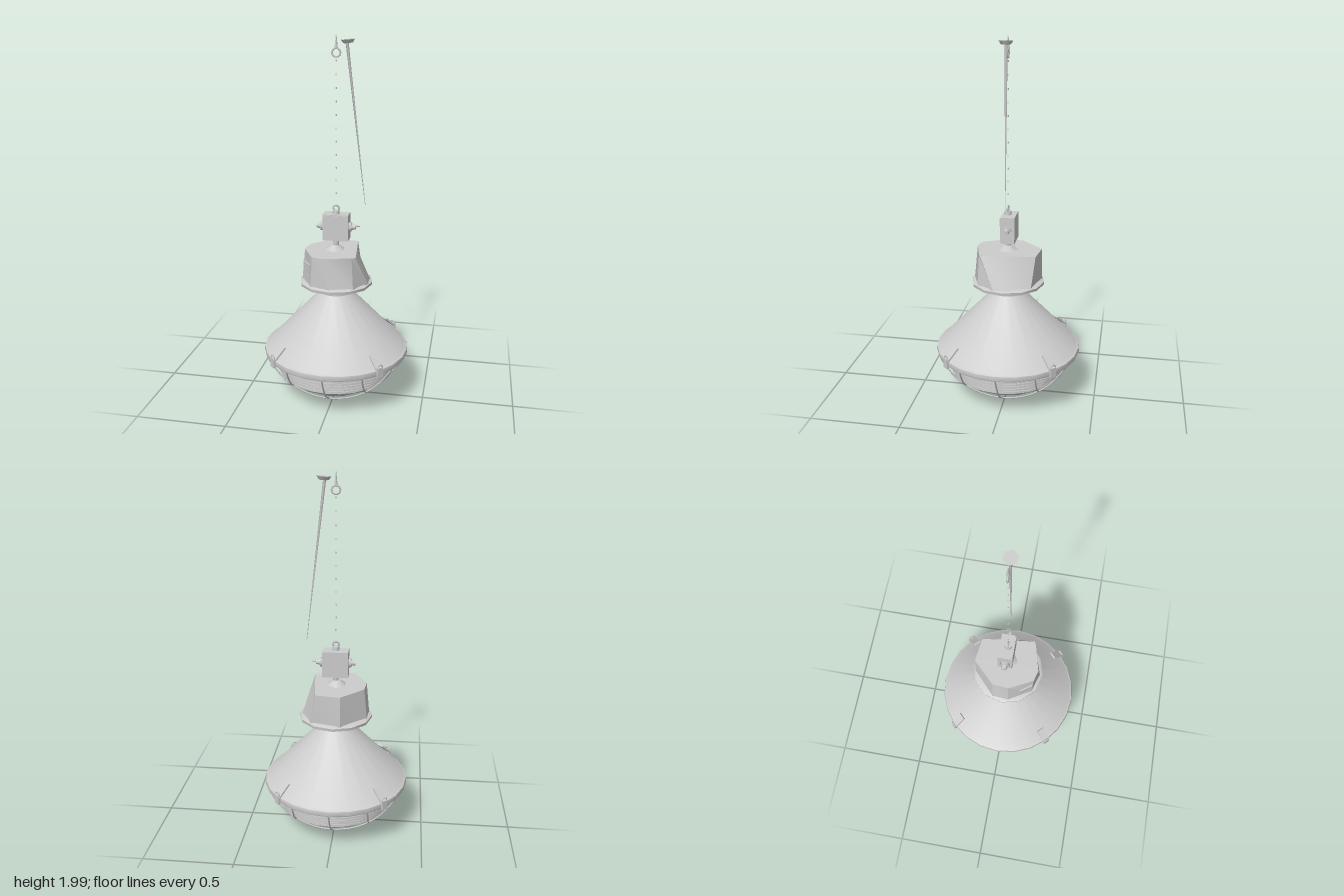
import * as THREE from 'three';
import { toCreasedNormals } from 'three/addons/utils/BufferGeometryUtils.js';

const grey = new THREE.MeshStandardMaterial({ color: 0xcccccc, side: THREE.DoubleSide });
grey.name = 'light grey metal';

export function createModel() {
  const model = new THREE.Group();
  model.name = 'hangingIndustrialLamp';

  const add = (name, geometry, pos = [0, 0, 0], rot = [0, 0, 0], parent = model) => {
    const mesh = new THREE.Mesh(geometry, grey);
    mesh.name = name;
    mesh.position.set(...pos);
    mesh.rotation.set(...rot);
    parent.add(mesh);
    return mesh;
  };
  const lathe = (points, sides, crease = 0.6) =>
    toCreasedNormals(new THREE.LatheGeometry(points.map(p => new THREE.Vector2(...p)), sides), crease);
  const cyl = (top, bottom, height, sides) => new THREE.CylinderGeometry(top, bottom, height, sides);

  // Conical reflector with a rolled rim
  add('shade', lathe([[0.365, 0.272], [0.4, 0.272], [0.405, 0.285], [0.402, 0.302], [0.385, 0.31],
    [0.09, 0.622], [0.09, 0.672]], 24));

  // Ribbed upper band of the glass, stepping inwards, then the plain bowl
  const ribs = [];
  for (let i = 0; i < 6; i++) {
    const y = 0.272 - i * 0.021, r = 0.368 - i * 0.01;
    ribs.push([r, y], [r, y - 0.012], [r - 0.014, y - 0.015], [r - 0.014, y - 0.021]);
  }
  add('ribbedGlass', lathe(ribs.reverse(), 24));
  add('glassBowl', lathe([[0.0001, 0.022], [0.1, 0.035], [0.2, 0.075], [0.27, 0.118], [0.305, 0.148]], 16));

  // Wire guard: crossed wires lying on a spherical dome
  const guard = new THREE.Group();
  guard.name = 'wireGuard';
  model.add(guard);
  const domeY = r => 0.442 - Math.sqrt(0.43 * 0.43 - r * r);
  for (const offset of [-0.203, 0, 0.203]) {
    const half = Math.sqrt(0.4 * 0.4 - offset * offset);
    const pts = [new THREE.Vector3(-half, 0.3, offset)];
    for (let i = 0; i <= 10; i++) {
      const x = half * (i / 5 - 1);
      pts.push(new THREE.Vector3(x, domeY(Math.hypot(x, offset)), offset));
    }
    pts.push(new THREE.Vector3(half, 0.3, offset));
    const wire = new THREE.TubeGeometry(new THREE.CatmullRomCurve3(pts), 28, 0.0045, 5);
    add('guardWireAcross', wire, [0, 0, 0], [0, 0, 0], guard);
    add('guardWireAlong', wire, [0, 0, 0], [0, Math.PI / 2, 0], guard);
  }
  add('guardRing', new THREE.TorusGeometry(0.398, 0.006, 5, 24), [0, 0.28, 0], [Math.PI / 2, 0, 0], guard);

  // Four toggle clips on the rim
  for (let i = 0; i < 4; i++) {
    const clip = new THREE.Group();
    clip.name = 'rimClip';
    clip.rotation.y = Math.PI / 4 + i * Math.PI / 2;
    model.add(clip);
    add('clipLever', new THREE.BoxGeometry(0.09, 0.01, 0.045), [0.377, 0.342, 0], [0, 0, -0.75], clip);
    add('clipHook', new THREE.BoxGeometry(0.012, 0.055, 0.035), [0.41, 0.295, 0], [0, 0, 0], clip);
    add('clipLoop', new THREE.TorusGeometry(0.018, 0.004, 4, 8), [0.41, 0.32, 0], [0, Math.PI / 2, 0], clip);
  }

  // Collar flange under the ballast housing
  add('collar', lathe([[0.09, 0.682], [0.155, 0.682], [0.165, 0.67], [0.2, 0.672], [0.202, 0.688],
    [0.185, 0.697], [0.09, 0.697]], 12));

  // Ballast housing: irregular prism with one sloping side
  const top = [[0.095, -0.165], [0.13, 0.13], [-0.04, 0.178], [-0.1, 0.162], [-0.168, 0.03], [-0.16, -0.06], [-0.04, -0.182]];
  const base = [[0.125, -0.145], [0.186, 0.05], [0, 0.188], [-0.11, 0.155], [-0.184, 0.03], [-0.176, -0.06], [-0.04, -0.186]];
  // An additional pair of corners keeps the base round below the slope
  top.splice(1, 0, [0.113, -0.02]);
  base.splice(1, 0, [0.186, -0.03]);
  top.splice(3, 0, [0.11, 0.14]);
  base.splice(3, 0, [0.12, 0.148]);
  const n = top.length, verts = [], index = [];
  for (let i = 0; i < n; i++) verts.push(top[i][0], 0.865, top[i][1], base[i][0], 0.69, base[i][1]);
  verts.push(0, 0.865, 0, 0, 0.69, 0);
  for (let i = 0; i < n; i++) {
    const a = 2 * i, b = 2 * ((i + 1) % n);
    index.push(a, b, a + 1, b, b + 1, a + 1, 2 * n, b, a, 2 * n + 1, a + 1, b + 1);
  }
  let housing = new THREE.BufferGeometry();
  housing.setAttribute('position', new THREE.Float32BufferAttribute(verts, 3));
  housing.setIndex(index);
  housing = toCreasedNormals(housing, 0.6);
  add('ballastHousing', housing);
  add('ratingPlate', new THREE.BoxGeometry(0.075, 0.048, 0.008), [-0.135, 0.797, 0.127], [0, -0.95, 0]);

  // Mounting foot and post between housing and junction box
  add('mountingFoot', cyl(0.02, 0.055, 0.025, 6), [-0.005, 0.878, 0]);
  add('mountingPost', cyl(0.015, 0.015, 0.06, 8), [0, 0.9, 0]);

  // Junction box with cable glands at the sides
  add('junctionBox', new THREE.BoxGeometry(0.14, 0.145, 0.075), [0, 0.993, -0.008]);
  add('boxLid', new THREE.BoxGeometry(0.13, 0.135, 0.008), [0, 0.993, 0.03]);
  for (const s of [-1, 1]) {
    add('glandNut', cyl(0.026, 0.026, 0.015, 6), [s * 0.077, 0.995, -0.005], [0, 0, Math.PI / 2]);
    add('glandBody', cyl(0.014, 0.018, 0.03, 8), [s * 0.092, 0.995, -0.005], [0, 0, -s * Math.PI / 2]);
  }
  add('glandTip', cyl(0.002, 0.008, 0.03, 6), [0.117, 1.0, -0.007], [0, 0, -Math.PI / 2]);

  // Lifting eye on top of the box
  add('eyeBase', cyl(0.018, 0.02, 0.02, 8), [0, 1.075, 0]);
  add('liftingEye', new THREE.TorusGeometry(0.016, 0.005, 5, 10), [0, 1.098, 0]);

  // Suspension chain: tiny widely spaced links
  for (let i = 0; i < 12; i++)
    add('chainLink', new THREE.BoxGeometry(0.006, 0.01, 0.004), [0, 1.11 + i * 0.0695, 0], [0, i * 0.8, 0]);

  // Ceiling eye with its pointed screw
  add('ceilingEye', new THREE.TorusGeometry(0.022, 0.005, 5, 10), [0, 1.913, 0]);
  add('ceilingScrew', cyl(0.002, 0.009, 0.064, 6), [0, 1.968, 0]);

  // Cable outlet cap and the tapering supply cable
  add('cableCap', cyl(0.037, 0.026, 0.018, 6), [0.06, 1.97, 0], [0, 0.4, 0.08]);
  const from = new THREE.Vector3(0.156, 1.12, -0.012), to = new THREE.Vector3(0.056, 1.965, 0);
  const dir = to.clone().sub(from);
  const cable = add('supplyCable', cyl(0.008, 0.0012, dir.length(), 4), from.clone().lerp(to, 0.5).toArray());
  cable.quaternion.setFromUnitVectors(new THREE.Vector3(0, 1, 0), dir.normalize());

  return model;
}
